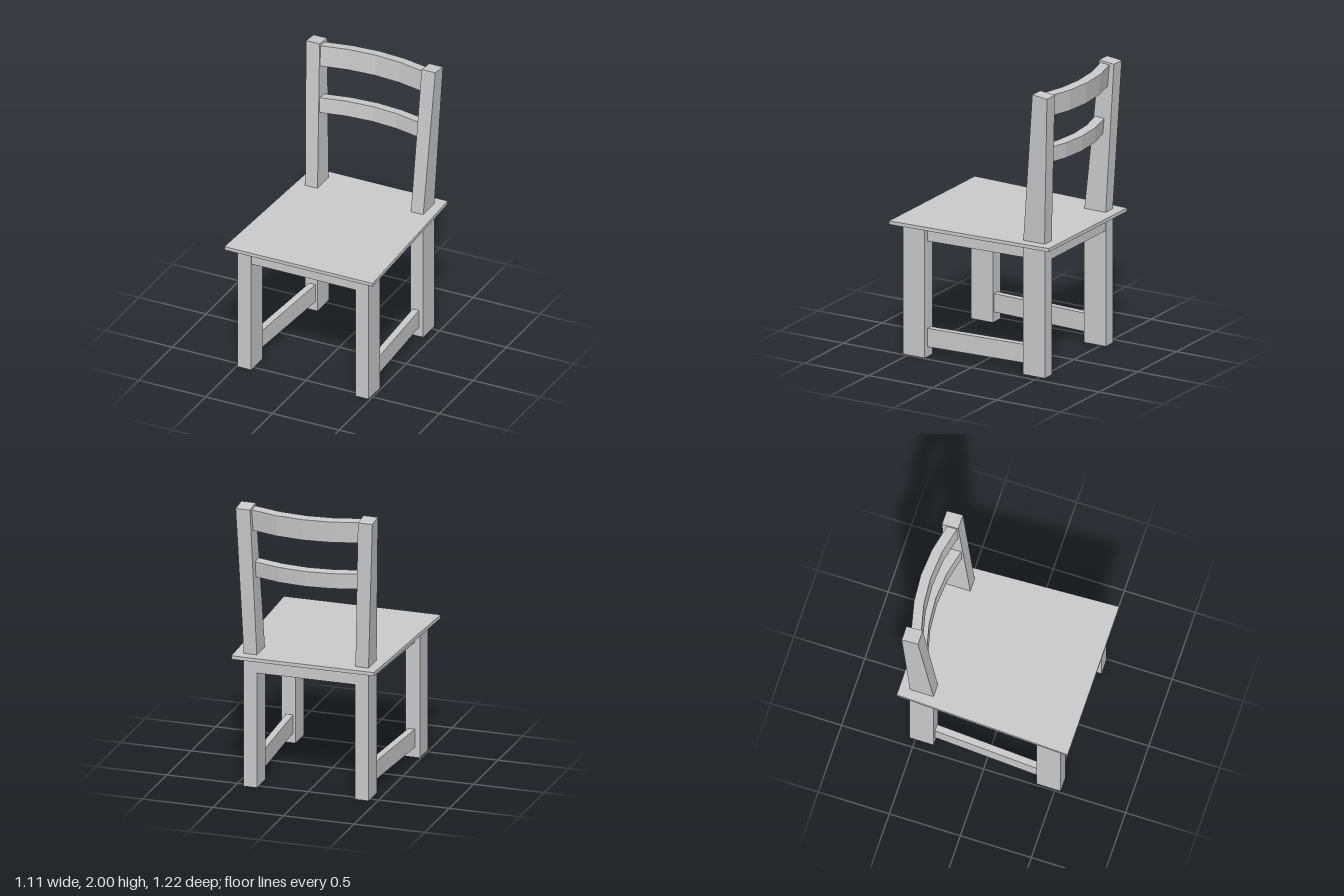
import * as THREE from 'three';

const material = new THREE.MeshStandardMaterial({ color: 0xcccccc, flatShading: true });

// Six-sided block whose corners (u, v, w = -1 or 1) are placed by a rule
function block(name, place) {
  const geometry = new THREE.BoxGeometry(2, 2, 2);
  const p = geometry.attributes.position;
  for (let i = 0; i < p.count; i++) p.setXYZ(i, ...place(p.getX(i), p.getY(i), p.getZ(i)));
  geometry.computeVertexNormals();
  const mesh = new THREE.Mesh(geometry, material);
  mesh.name = name;
  return mesh;
}

// Value at t = -1 and t = 1
const pick = (t, a, b) => (t < 0 ? a : b);

// Straight box given by centre and size
function box(name, x, y0, y1, z, width, depth) {
  return block(name, (u, v, w) => [x + u * width / 2, pick(v, y0, y1), z + w * depth / 2]);
}

// Flat slab, narrower at the back
function slab(name, y0, y1, halfDepth, backHalf, frontHalf) {
  return block(name, (u, v, w) => [u * pick(w, backHalf, frontHalf), pick(v, y0, y1), w * halfDepth]);
}

// Curved back rail, bowed backwards and leaning with the posts
function rail(name, y, z, halfWidth, height) {
  const geometry = new THREE.BoxGeometry(halfWidth * 2, height, 0.07, 4, 1, 1);
  const p = geometry.attributes.position;
  for (let i = 0; i < p.count; i++) {
    p.setZ(i, p.getZ(i) + 0.06 * (p.getX(i) / halfWidth) ** 2);
  }
  geometry.computeVertexNormals();
  const mesh = new THREE.Mesh(geometry, material);
  mesh.name = name;
  mesh.position.set(0, y, z);
  mesh.rotation.x = -0.08;
  return mesh;
}

export function createModel() {
  const chair = new THREE.Group();
  chair.name = 'chair';

  // Seat board and the solid frame beneath it
  chair.add(slab('seat', 0.92, 0.945, 0.61, 0.505, 0.555));
  chair.add(slab('seatFrame', 0.815, 0.925, 0.536, 0.406, 0.46));

  for (const [side, s] of [['left', 1], ['right', -1]]) {
    // Legs, the rear pair set closer together
    chair.add(box(side + 'FrontLeg', s * 0.44, 0, 0.925, 0.455, 0.1, 0.17));
    chair.add(box(side + 'BackLeg', s * 0.395, 0, 0.925, -0.455, 0.095, 0.17));

    // Low stretcher running from front leg to back leg
    chair.add(block(side + 'Stretcher', (u, v, w) => [
      s * pick(w, 0.386, 0.433) + u * 0.024, pick(v, 0.07, 0.2), w * 0.4]));

    // Back post, leaning back and outwards with a thinner top
    chair.add(block(side + 'BackPost', (u, v, w) => (v < 0
      ? [s * 0.395 + u * 0.046, 0.93, pick(w, -0.537, -0.37)]
      : [s * 0.433 + u * 0.051, pick(w, 1.987, 2), pick(w, -0.582, -0.467)])));
  }

  // Back rails
  chair.add(rail('topRail', 1.9, -0.565, 0.385, 0.15));
  chair.add(rail('middleRail', 1.54, -0.532, 0.375, 0.11));

  return chair;
}
